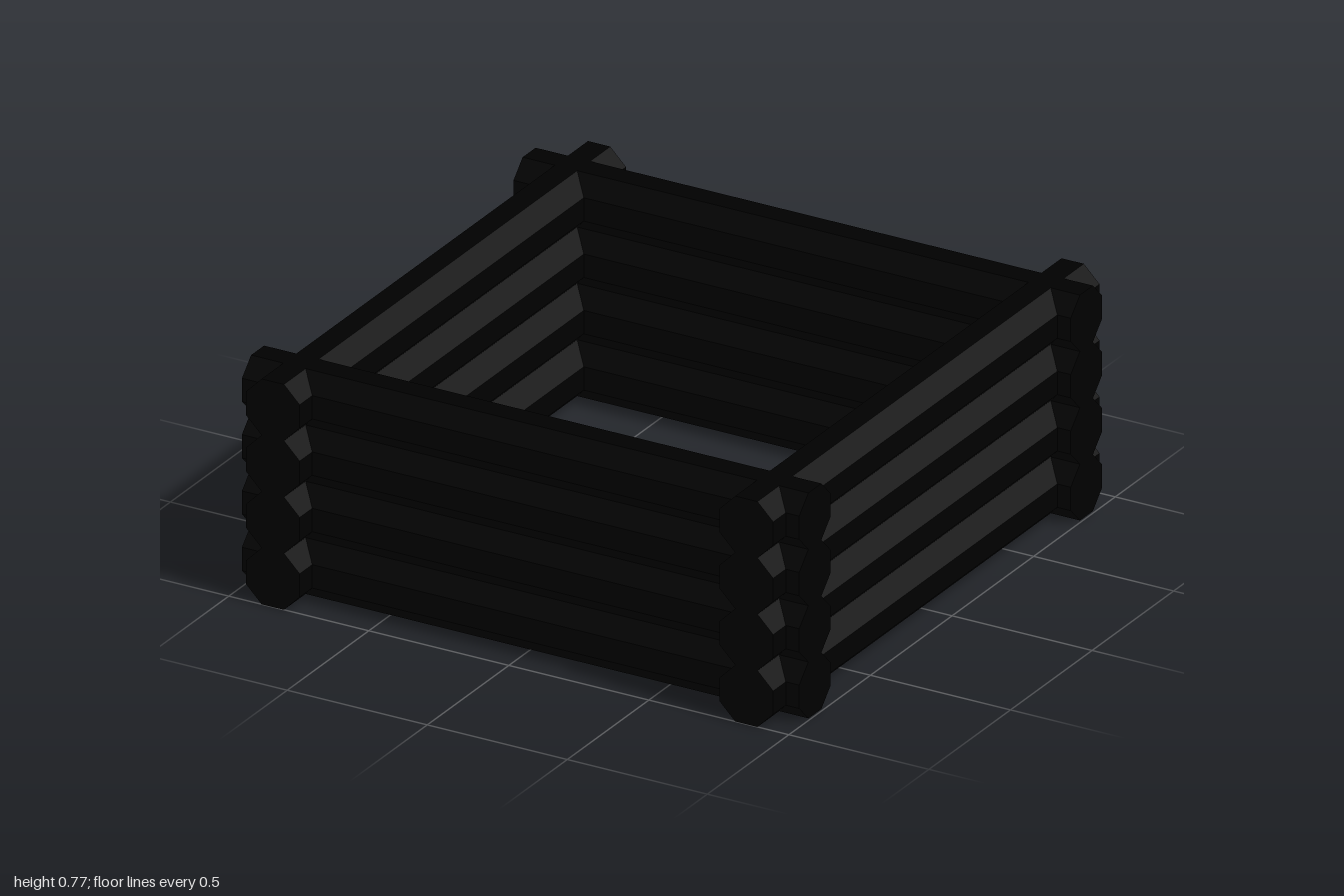
import * as THREE from 'three';

const LAYERS = 4;
const LOG = 0.192; // log thickness across its flats

export function createModel() {
  const model = new THREE.Group();
  model.name = 'logWalls';
  const bark = new THREE.MeshStandardMaterial({ color: 0x000000, flatShading: true });

  // Octagonal log lying along x, flat side down
  const logGeometry = (length) => {
    const g = new THREE.CylinderGeometry(LOG / 2 / Math.cos(Math.PI / 8), LOG / 2 / Math.cos(Math.PI / 8), length, 8, 1, false, Math.PI / 8);
    return g.rotateZ(Math.PI / 2);
  };
  const crossLog = logGeometry(1.99);
  const sideLog = logGeometry(2).rotateY(Math.PI / 2);

  // Each wall is a stack of logs whose ends cross at the corners
  const walls = [
    ['front', crossLog, -0.003, 0.827],
    ['back', crossLog, -0.003, -0.837],
    ['left', sideLog, 0.848, 0],
    ['right', sideLog, -0.843, 0],
  ];
  for (const [side, geometry, x, z] of walls) {
    const wall = new THREE.Group();
    wall.name = `${side}Wall`;
    for (let i = 0; i < LAYERS; i++) {
      const log = new THREE.Mesh(geometry, bark);
      log.name = `${side}Log${i + 1}`;
      log.position.set(x, LOG * (i + 0.5), z);
      wall.add(log);
    }
    model.add(wall);
  }
  return model;
}
